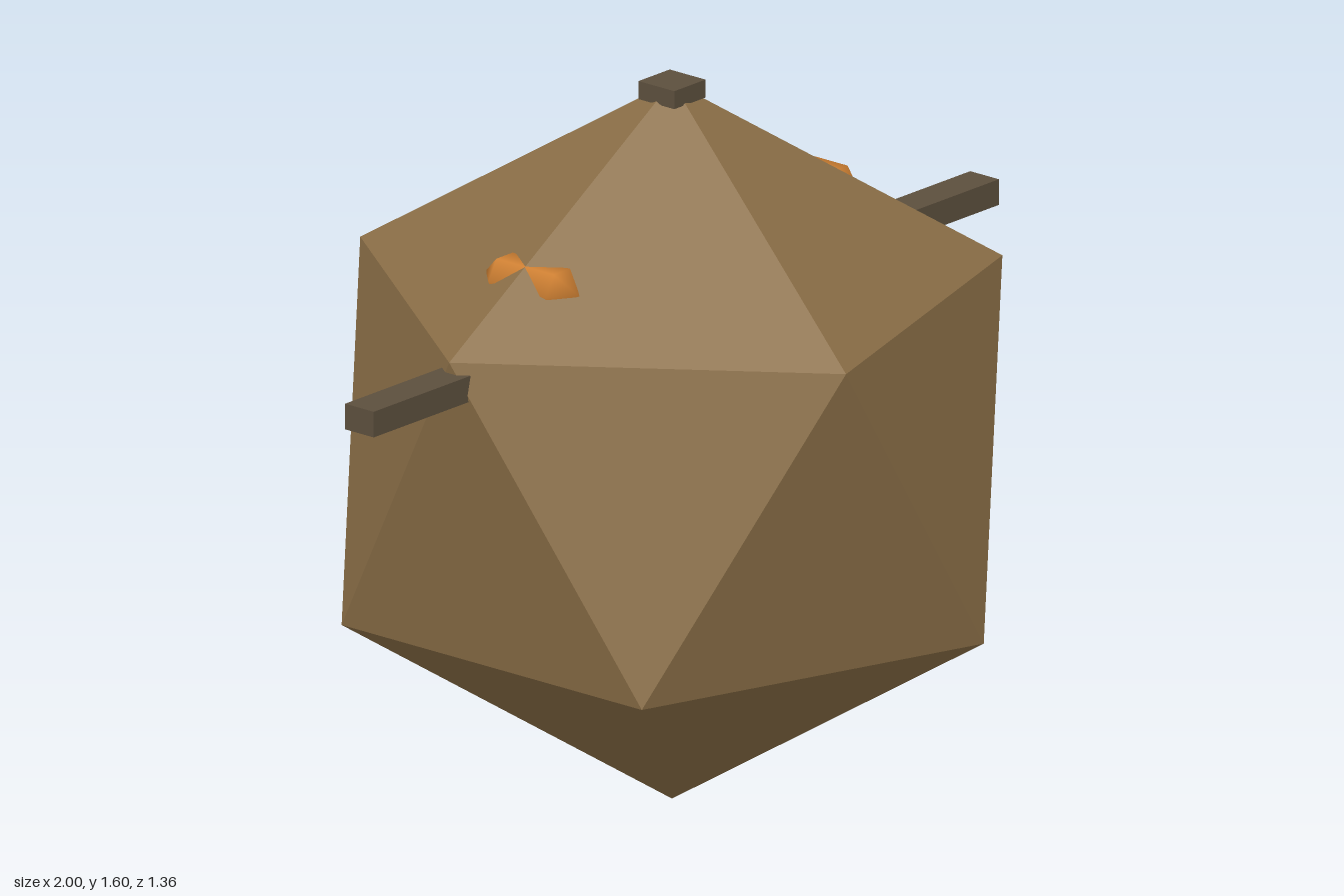
import * as THREE from 'three';
import { ConvexGeometry } from 'three/addons/geometries/ConvexGeometry.js';

export function createModel() {
  const model = new THREE.Group();
  const material = (color, flatShading) => new THREE.MeshStandardMaterial({ color, flatShading });
  const brown = material(0x8b6f47, true);
  const dark = material(0x5c4f3d, true);
  const orange = material(0xcd7f32, false);

  const add = (name, geometry, mat, x, y, z = 0) => {
    const mesh = new THREE.Mesh(geometry, mat);
    mesh.name = name;
    mesh.position.set(x, y, z);
    model.add(mesh);
    return mesh;
  };

  // Body: icosahedron standing on a corner, two staggered rings of five
  const R = 0.797;
  const ringR = R * 2 / Math.sqrt(5), ringY = R / Math.sqrt(5);
  const corners = [new THREE.Vector3(0, R, 0), new THREE.Vector3(0, -R, 0)];
  for (let i = 0; i < 5; i++) {
    const a = i * Math.PI * 2 / 5;
    const x = ringR * Math.cos(a), z = ringR * Math.sin(a);
    corners.push(new THREE.Vector3(-x, ringY, z), new THREE.Vector3(x, -ringY, z));
  }
  add('body', new ConvexGeometry(corners), brown, 0, 0.8);

  // Cap on the top corner
  add('topCap', new THREE.BoxGeometry(0.1, 0.04, 0.1), dark, 0, 1.58);

  // Mirrored arms and six-sided capsule lights
  for (const [side, s] of [['left', 1], ['right', -1]]) {
    add(side + 'Arm', new THREE.BoxGeometry(0.5, 0.057, 0.08), dark, s * 0.75, 1.102);
    const light = add(side + 'Light', new THREE.CapsuleGeometry(0.052, 0.16, 1, 6), orange, s * 0.444, 1.262);
    light.rotation.x = Math.PI / 2;
  }
  return model;
}
